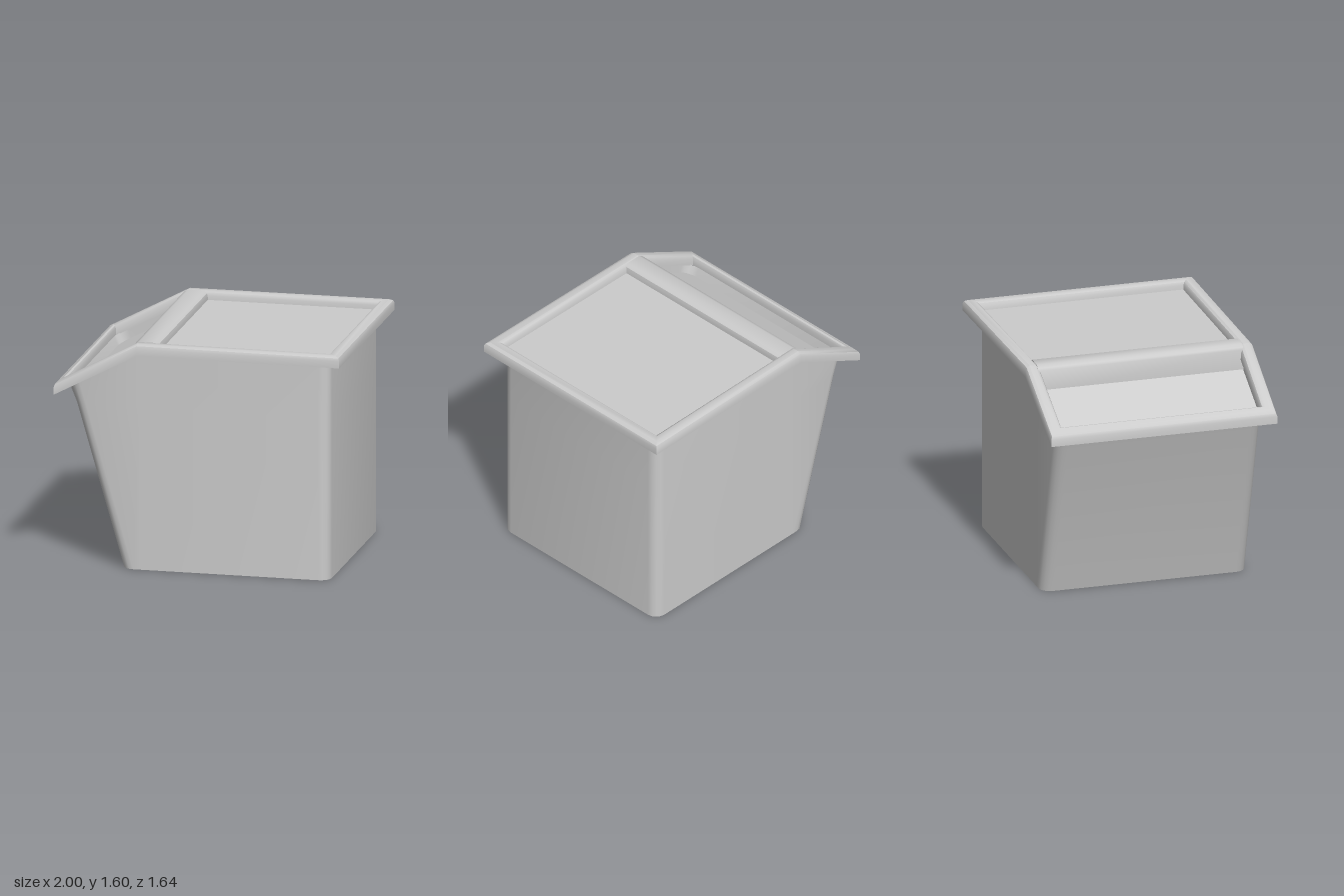
import * as THREE from 'three';
import { toCreasedNormals } from 'three/addons/utils/BufferGeometryUtils.js';

const material = new THREE.MeshStandardMaterial({ color: 0xcccccc, side: THREE.DoubleSide });
const BEND = -0.42;
// Height of the lid's top surface: level, then sloping down past the bend
const topY = (x) => 1.6 + Math.min(0, x - BEND) * 0.53;

function addMesh(group, name, geometry) {
  const mesh = new THREE.Mesh(toCreasedNormals(geometry, 0.6), material);
  mesh.name = name;
  group.add(mesh);
  return mesh;
}

// Skin a closed ring of equal-length sections
function loft(sections, closedProfile) {
  const n = sections.length, m = sections[0].length, index = [];
  for (let i = 0; i < n; i++) {
    for (let j = 0; j < (closedProfile ? m : m - 1); j++) {
      const i2 = (i + 1) % n, j2 = (j + 1) % m;
      const a = i * m + j, b = i2 * m + j, c = i2 * m + j2, d = i * m + j2;
      index.push(a, b, c, a, c, d);
    }
  }
  const g = new THREE.BufferGeometry();
  g.setAttribute('position', new THREE.Float32BufferAttribute(sections.flat(2), 3));
  g.setIndex(index);
  return g;
}

// Tub: each column runs from the floor centre out, then up to the lid
function bodyGeometry() {
  const r = 0.08, steps = 4, columns = [];
  const column = (x, z, left) => {
    const xTop = x - (left ? 0.38 : 0);
    columns.push([
      [0.18, 0, 0],
      [x, 0, z],
      [x - (left ? 0.33 : 0), 1.14, z],
      [xTop, topY(xTop) - 0.075, z],
    ]);
  };
  const corner = (cx, cz, start, left) => {
    for (let k = 0; k <= steps; k++) {
      const a = start + (k / steps) * Math.PI / 2;
      column(cx + r * Math.cos(a), cz - r * Math.sin(a), left);
    }
  };
  corner(0.91 - r, -0.73 + r, 0, false);
  column(BEND, -0.73, false);
  corner(-0.54 + r, -0.73 + r, Math.PI / 2, true);
  corner(-0.54 + r, 0.73 - r, Math.PI, true);
  column(BEND, 0.73, false);
  corner(0.91 - r, 0.73 - r, Math.PI * 1.5, false);
  return loft(columns, false);
}

// Rounded rim swept around the lid with mitred corners
function rimGeometry() {
  const profile = [[0, -0.08], [0, -0.03], [0.008, -0.012], [0.03, 0],
    [0.07, 0], [0.088, -0.01], [0.098, -0.03], [0.1, -0.08]];
  // x, z, inward x, inward z
  const path = [[1, 0.82, -1, -1], [1, -0.82, -1, 1], [BEND, -0.81, 0, 1],
    [-1, -0.805, 0.8, 1], [-1, 0.805, 0.8, -1], [BEND, 0.81, 0, -1]];
  return loft(path.map(([x, z, dx, dz]) => profile.map(([d, h]) => {
    const px = x + dx * d;
    return [px, topY(px) + h, z + dz * d];
  })), true);
}

// Bar across the lid at the bend
function crossbarGeometry() {
  const shape = new THREE.Shape([[-0.46, 1.40], [-0.28, 1.50], [-0.28, 1.56], [-0.287, 1.585],
    [-0.31, 1.6], [BEND, 1.6], [-0.45, topY(-0.45)], [-0.46, topY(-0.46) - 0.01]]
    .map(([x, y]) => new THREE.Vector2(x, y)));
  return new THREE.ExtrudeGeometry(shape, { depth: 1.46, bevelEnabled: false }).translate(0, 0, -0.73);
}

// Sunken sloping panel, rounded at its lower corners
function slopePanelGeometry() {
  const x0 = -0.895, x1 = -0.43, w = 0.727, r = 0.08;
  const shape = new THREE.Shape();
  shape.moveTo(x1, -w);
  shape.lineTo(x1, w);
  shape.lineTo(x0 + r, w);
  shape.absarc(x0 + r, w - r, r, Math.PI / 2, Math.PI, false);
  shape.lineTo(x0, -w + r);
  shape.absarc(x0 + r, -w + r, r, Math.PI, Math.PI * 1.5, false);
  const g = new THREE.ShapeGeometry(shape, 4);
  const p = g.attributes.position;
  for (let i = 0; i < p.count; i++) {
    p.setXYZ(i, p.getX(i), topY(p.getX(i)) - 0.15, -p.getY(i));
  }
  return g;
}

export function createModel() {
  const model = new THREE.Group();
  model.name = 'bin';
  addMesh(model, 'body', bodyGeometry());

  const lid = new THREE.Group();
  lid.name = 'lid';
  model.add(lid);
  addMesh(lid, 'rim', rimGeometry());
  addMesh(lid, 'crossbar', crossbarGeometry());
  addMesh(lid, 'flatPanel', new THREE.BoxGeometry(1.21, 0.015, 1.45).translate(0.3, 1.5325, 0));
  addMesh(lid, 'slopingPanel', slopePanelGeometry());
  return model;
}
